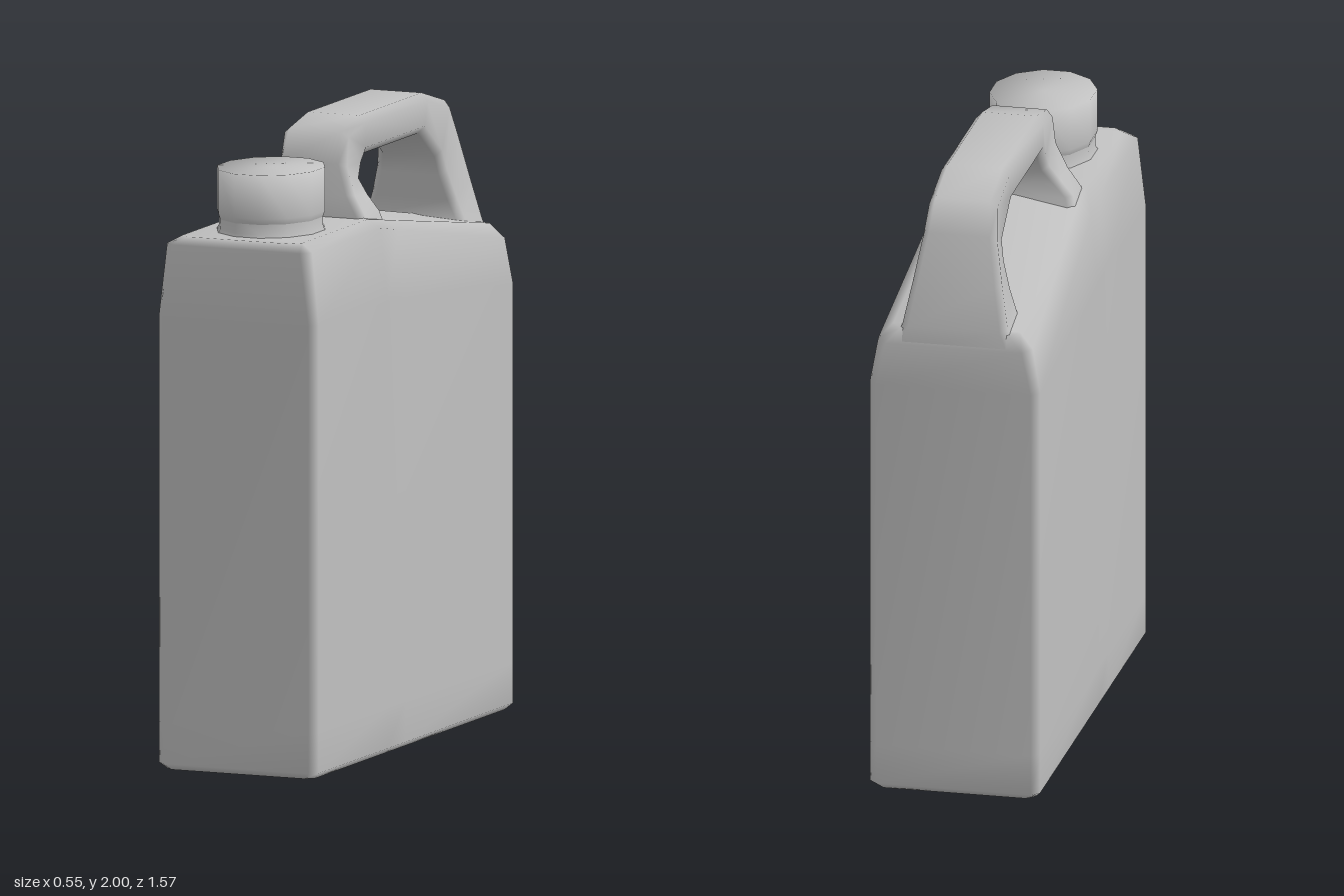
import * as THREE from 'three';

// Skin a list of equal-length point rings; vertices are shared for smooth shading
function loft(rings) {
  const n = rings[0].length, index = [];
  for (let r = 0; r < rings.length - 1; r++) {
    for (let i = 0; i < n; i++) {
      const a = r * n + i, b = r * n + (i + 1) % n;
      index.push(a, b, b + n, a, b + n, a + n);
    }
  }
  const geo = new THREE.BufferGeometry();
  geo.setAttribute('position', new THREE.Float32BufferAttribute(rings.flat(2), 3));
  geo.setIndex(index);
  geo.computeVertexNormals();
  return geo;
}

// Horizontal body ring with chamfered corners; height varies with z
function bodyRing(w, zf, zb, c, height) {
  const right = [zf - c, 0.22, 0.08, zb + c].map(z => [w, z]);
  right.push([w - c, zb]);
  const left = right.map(([x, z]) => [-x, z]).reverse();
  return [...right, ...left, [-(w - c), zf], [w - c, zf]].map(([x, z]) => [x, height(z), z]);
}

// Level at the front, falling toward the back behind the spout
const slope = (front, back) => z =>
  z >= 0.22 ? front : front + (back - front) * (0.22 - z) / 1.0;
const ridge = z => z >= 0.22 ? 1.705
  : z >= 0.08 ? 1.705 + (0.22 - z) / 0.14 * 0.01
  : 1.715 - (0.08 - z) * 0.184;

// Handle section between an outer and an inner [z, y] point
function handleSection([oz, oy, iz, iy, w]) {
  const t = 0.024 / Math.hypot(oz - iz, oy - iy);
  const at = (x, k) => [x, oy + (iy - oy) * k, oz + (iz - oz) * k];
  const c = 0.022;
  return [at(w, t), at(w, 1 - t), at(w - c, 1), at(c - w, 1),
    at(-w, 1 - t), at(-w, t), at(c - w, 0), at(w - c, 0)];
}

export function createModel() {
  const group = new THREE.Group();
  const plastic = new THREE.MeshStandardMaterial({ color: 0xc0c0c0 });
  plastic.name = 'grey plastic';
  const add = (name, geo) => {
    const mesh = new THREE.Mesh(geo, plastic);
    mesh.name = name;
    group.add(mesh);
    return mesh;
  };

  // Canister body: base, straight walls, tapered shoulder, sloping top
  add('body', loft([
    bodyRing(0, 0.6, -0.6, 0, () => 0),
    bodyRing(0.255, 0.765, -0.765, 0.025, () => 0),
    bodyRing(0.275, 0.785, -0.785, 0.025, () => 0.02),
    bodyRing(0.275, 0.785, -0.785, 0.025, () => 0.15),
    bodyRing(0.275, 0.785, -0.785, 0.025, slope(1.45, 1.36)),
    bodyRing(0.25, 0.783, -0.783, 0.03, slope(1.68, 1.5)),
    bodyRing(0.205, 0.76, -0.765, 0.03, slope(1.705, 1.545)),
    bodyRing(0, 0.72, -0.74, 0, ridge),
  ]));

  // Handle: flared front foot, grip, flared back foot
  add('handle', loft([
    [0.228, 1.66, 0.05, 1.64, 0.21],
    [0.225, 1.71, 0.07, 1.715, 0.19],
    [0.215, 1.775, 0.07, 1.76, 0.15],
    [0.195, 1.87, 0.065, 1.8, 0.115],
    [0.168, 1.97, 0.04, 1.84, 0.11],
    [0.02, 2.0, 0.015, 1.875, 0.11],
    [-0.47, 2.0, -0.44, 1.875, 0.11],
    [-0.65, 1.95, -0.57, 1.78, 0.11],
    [-0.7, 1.85, -0.58, 1.72, 0.12],
    [-0.745, 1.7, -0.592, 1.64, 0.145],
    [-0.78, 1.56, -0.6, 1.58, 0.17],
    [-0.78, 1.48, -0.57, 1.52, 0.2],
  ].map(handleSection)));

  // Oval twelve-sided neck and cap
  const oval = (name, profile) => {
    const geo = new THREE.LatheGeometry(
      profile.map(([r, y]) => new THREE.Vector2(r, y)), 12, Math.PI / 12);
    geo.scale(0.169, 1, 0.197);
    add(name, geo).position.z = 0.508;
  };
  oval('neck', [[1.06, 1.69], [0.97, 1.715], [0.96, 1.76]]);
  oval('cap', [[0.96, 1.745], [1, 1.765], [1, 1.905], [0, 1.905]]);

  return group;
}
